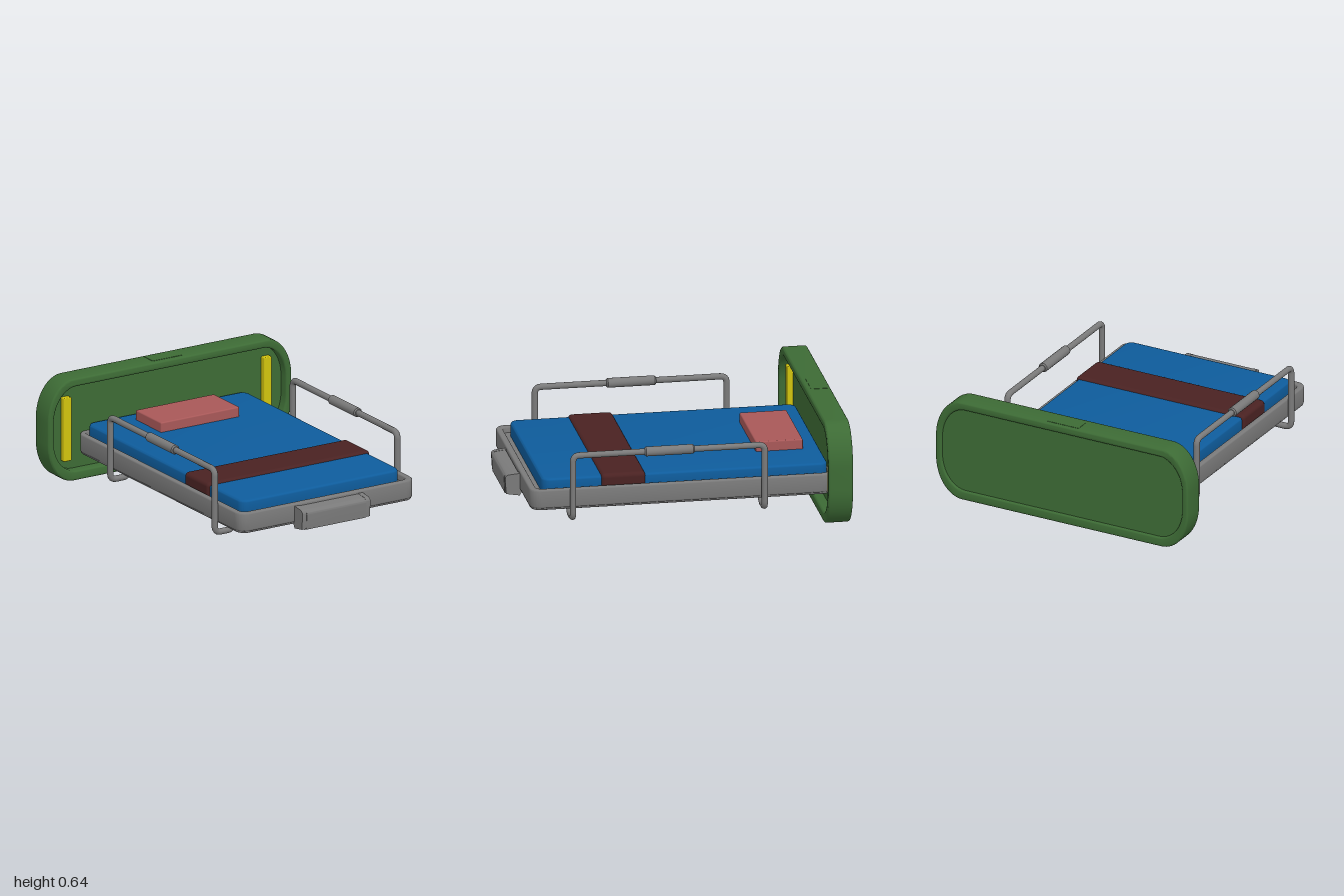
import * as THREE from 'three';
import { toCreasedNormals } from 'three/addons/utils/BufferGeometryUtils.js';
import { RoundedBoxGeometry } from 'three/addons/geometries/RoundedBoxGeometry.js';

const mat = (name, color) => {
  const m = new THREE.MeshStandardMaterial({ color });
  m.name = name;
  return m;
};

// Rectangle with elliptical corners, as a Shape or a Path for holes
function roundedOutline(Type, x0, x1, y0, y1, rx, ry) {
  const s = new Type(), h = Math.PI / 2;
  s.moveTo(x1, y0 + ry);
  s.absellipse(x1 - rx, y1 - ry, rx, ry, 0, h, false);
  s.absellipse(x0 + rx, y1 - ry, rx, ry, h, 2 * h, false);
  s.absellipse(x0 + rx, y0 + ry, rx, ry, 2 * h, 3 * h, false);
  s.absellipse(x1 - rx, y0 + ry, rx, ry, 3 * h, 4 * h, false);
  s.closePath();
  return s;
}

// Extrusion whose overall depth includes the bevel
function extrude(shape, depth, bevel = 0) {
  const g = new THREE.ExtrudeGeometry(shape, {
    depth: depth - 2 * bevel, curveSegments: 8, bevelEnabled: bevel > 0,
    bevelSize: bevel, bevelThickness: bevel, bevelOffset: -bevel, bevelSegments: 3,
  });
  g.translate(0, 0, bevel);
  return toCreasedNormals(g, 0.6);
}

export function createModel() {
  const model = new THREE.Group();
  model.name = 'bed';
  const green = mat('green', 0x3d6b35), grey = mat('grey', 0x7a7a7a);
  const blue = mat('blue', 0x0e5c9c), brown = mat('brown', 0x4a2222);
  const pink = mat('dusty red', 0xa85858), yellow = mat('yellow', 0xd2c40e);

  const add = (name, geometry, material, x = 0, y = 0, z = 0, parent = model) => {
    const m = new THREE.Mesh(geometry, material);
    m.name = name;
    m.position.set(x, y, z);
    parent.add(m);
    return m;
  };
  const box = (w, h, d, r) => new RoundedBoxGeometry(w, h, d, 3, r);

  // Flat horizontal slab lying on y = 0, spanning z0..z1
  const slab = (halfW, z0, z1, height, r, bevel, hole) => {
    const s = roundedOutline(THREE.Shape, -halfW, halfW, -z1, -z0, r, r);
    if (hole) s.holes.push(hole);
    return extrude(s, height, bevel).rotateX(-Math.PI / 2);
  };

  // Headboard: deep rim around a recessed panel
  const headboard = new THREE.Group();
  headboard.name = 'headboard';
  model.add(headboard);
  const rim = roundedOutline(THREE.Shape, -0.86, 0.86, 0, 0.64, 0.18, 0.25);
  rim.holes.push(roundedOutline(THREE.Path, -0.82, 0.82, 0.06, 0.59, 0.16, 0.21));
  add('headboardRim', extrude(rim, 0.15, 0.012), green, 0, 0, -1, headboard);
  const panel = roundedOutline(THREE.Shape, -0.84, 0.84, 0.04, 0.61, 0.17, 0.22);
  add('headboardPanel', extrude(panel, 0.075), green, 0, 0, -0.985, headboard);
  add('headboardGrip', new THREE.BoxGeometry(0.21, 0.008, 0.1), green, 0, 0.638, -0.93, headboard);

  // Yellow strips on the panel
  for (const s of [1, -1]) {
    add('panelStrip', box(0.055, 0.4, 0.04, 0.006), yellow, s * 0.708, 0.32, -0.895);
  }

  // Tray-like bed frame
  add('frameBase', slab(0.615, -0.92, 0.905, 0.09, 0.06, 0.012), grey, 0, 0.15, 0);
  const trayHole = roundedOutline(THREE.Path, -0.582, 0.582, -0.87, 0.9, 0.04, 0.04);
  add('frameLip', slab(0.62, -0.92, 0.91, 0.115, 0.065, 0.01, trayHole), grey, 0, 0.163, 0);

  // Bedding
  add('mattress', slab(0.56, -0.9, 0.83, 0.1, 0.05, 0.014), blue, 0, 0.227, 0);
  add('blanket', box(1.15, 0.11, 0.27, 0.025), brown, 0, 0.286, 0.34);
  add('pillow', box(0.555, 0.068, 0.285, 0.008), pink, 0, 0.354, -0.657);

  // Foot handle: a bent plate, open below, between two end brackets
  const handle = new THREE.Group();
  handle.name = 'footHandle';
  model.add(handle);
  const bent = new THREE.Shape();
  bent.moveTo(0.915, 0.262);
  bent.lineTo(0.975, 0.255);
  bent.quadraticCurveTo(1, 0.25, 1, 0.228);
  bent.lineTo(0.995, 0.135);
  bent.lineTo(0.97, 0.127);
  bent.lineTo(0.972, 0.22);
  bent.lineTo(0.915, 0.235);
  bent.closePath();
  // Profile is drawn in (z, y) and swept along x
  const sweep = (shape, width) => extrude(shape, width).translate(0, 0, -width / 2).rotateY(-Math.PI / 2);
  const mirrored = sweep(bent, 0.42);
  add('handlePlate', mirrored, grey, 0, 0, 0, handle);
  const end = new THREE.Shape();
  end.moveTo(0.89, 0.265);
  end.lineTo(0.975, 0.257);
  end.quadraticCurveTo(0.998, 0.252, 0.998, 0.232);
  end.lineTo(0.992, 0.138);
  end.lineTo(0.91, 0.124);
  end.lineTo(0.89, 0.16);
  end.closePath();
  for (const s of [1, -1]) add('handleBracket', sweep(end, 0.032), grey, s * 0.224, 0, 0, handle);

  // Side rails: one bent tube each, hooked under the frame, with a grip sleeve
  const corners = [
    [0.517, 0.17, 0.66], [0.517, 0.1, 0.66], [0.645, 0.1, 0.66], [0.645, 0.495, 0.66],
    [0.645, 0.495, -0.502], [0.645, 0.1, -0.502], [0.517, 0.1, -0.502], [0.517, 0.17, -0.502],
  ];
  const sleeveProfile = [[0, -0.15], [0.022, -0.15], [0.029, -0.142], [0.029, 0.142], [0.022, 0.15], [0, 0.15]]
    .map(([r, y]) => new THREE.Vector2(r, y));
  for (const s of [1, -1]) {
    const rail = new THREE.Group();
    rail.name = s > 0 ? 'leftRail' : 'rightRail';
    model.add(rail);
    const pts = corners.map(([x, y, z]) => new THREE.Vector3(s * x, y, z));
    const path = new THREE.CurvePath();
    let from = pts[0];
    for (let i = 1; i < pts.length - 1; i++) {
      const toward = (q) => pts[i].clone().add(q.clone().sub(pts[i]).setLength(0.04));
      const a = toward(pts[i - 1]), b = toward(pts[i + 1]);
      path.add(new THREE.LineCurve3(from, a));
      path.add(new THREE.QuadraticBezierCurve3(a, pts[i], b));
      from = b;
    }
    path.add(new THREE.LineCurve3(from, pts[pts.length - 1]));
    add('railTube', new THREE.TubeGeometry(path, 220, 0.019, 12), grey, 0, 0, 0, rail);
    const sleeve = toCreasedNormals(new THREE.LatheGeometry(sleeveProfile, 16).rotateX(Math.PI / 2), 0.6);
    add('railSleeve', sleeve, grey, s * 0.645, 0.495, 0.077, rail);
  }
  return model;
}
